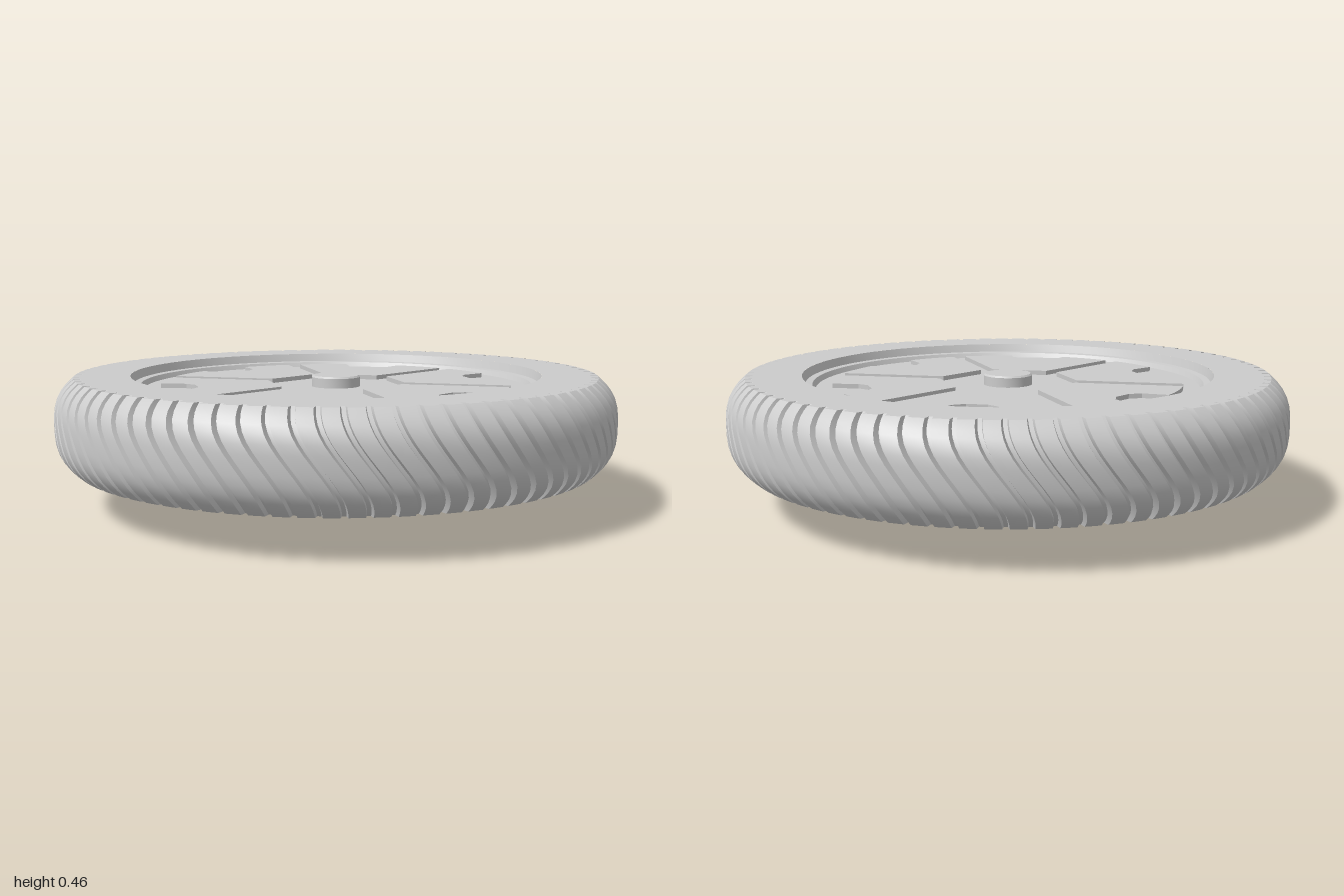
import * as THREE from 'three';
import { toCreasedNormals } from 'three/addons/utils/BufferGeometryUtils.js';

const material = new THREE.MeshStandardMaterial({ color: 0xcccccc });
const rad = THREE.MathUtils.degToRad;

function add(group, name, geometry) {
  const mesh = new THREE.Mesh(geometry, material);
  mesh.name = name;
  group.add(mesh);
  return mesh;
}

// Flat plate: outline in (x, z), extruded between two heights
function plate(shape, bottom, top) {
  const g = new THREE.ExtrudeGeometry(shape, { depth: top - bottom, bevelEnabled: false, curveSegments: 40 });
  g.rotateX(Math.PI / 2).translate(0, top, 0);
  return toCreasedNormals(g, 0.5);
}

function disc(r, bottom, top, segments = 56) {
  return new THREE.CylinderGeometry(r, r, top - bottom, segments).translate(0, (top + bottom) / 2, 0);
}

function lathe(points, segments = 72) {
  return toCreasedNormals(new THREE.LatheGeometry(points.map(p => new THREE.Vector2(...p)), segments), 0.4);
}

function circlePath(r, x = 0, y = 0) {
  return new THREE.Path().absarc(x, y, r, 0, Math.PI * 2);
}

const polar = (r, a) => new THREE.Vector2(r * Math.cos(a), r * Math.sin(a));

// Tyre: a bulged ring whose radius drops inside S-curved grooves
function tyreGeometry() {
  const blocks = 80, depth = 0.024, fractions = [0, 0.35, 0.7, 0.76, 0.94];
  const rows = [[0.78, -1, 0], [0.87, -1, 0]];
  for (let i = 0; i <= 16; i++) {
    const t = Math.sin((i / 8 - 1) * Math.PI / 2);
    rows.push([0.93 + 0.07 * (1 - Math.abs(t) ** 3), t, depth]);
  }
  rows.push([0.87, 1, 0], [0.735, 1, 0]);
  const cols = blocks * fractions.length, pos = [], index = [];
  rows.forEach(([r, t, d], j) => {
    for (let i = 0; i < cols; i++) {
      const k = i % fractions.length;
      const block = Math.floor(i / fractions.length);
      const a = (block + fractions[k]) / blocks * Math.PI * 2 - 0.08 * Math.sin(t * Math.PI / 2);
      const radius = r - (k >= 3 ? d : 0);
      pos.push(radius * Math.sin(a), 0.3 + 0.16 * t, radius * Math.cos(a));
      if (j < rows.length - 1) {
        const n = (i + 1) % cols, p = j * cols, q = p + cols;
        index.push(p + i, p + n, q + i, p + n, q + n, q + i);
      }
    }
  });
  const g = new THREE.BufferGeometry();
  g.setAttribute('position', new THREE.Float32BufferAttribute(pos, 3));
  g.setIndex(index);
  return toCreasedNormals(g, 0.6);
}

// Raised wheel pad with a notched outer edge
function padShape(centre) {
  const gap = 0.025, half = r => Math.PI / 6 - Math.asin(gap / r);
  const R = 0.63, edge = half(R), notch = rad(10);
  const pts = [polar(0.25, -half(0.25)), polar(0.3, -half(0.3))];
  for (let i = 0; i <= 4; i++) pts.push(polar(R, -edge + (edge - notch) * i / 4));
  pts.push(polar(0.54, -rad(8)), polar(0.51, -rad(4)));
  const mirrored = pts.map(p => new THREE.Vector2(p.x, -p.y)).reverse();
  return new THREE.Shape([...pts, ...mirrored].map(p => p.rotateAround(new THREE.Vector2(), centre)));
}

// Sector opening between two cover ribs
function sectorPath(start, span) {
  const gap = 0.03, inner = 0.43, outer = 0.7, pts = [];
  const ai = Math.asin(gap / inner), ao = Math.asin(gap / outer);
  for (let i = 0; i <= 16; i++) pts.push(polar(outer, start + ao + (span - 2 * ao) * i / 16));
  for (let i = 16; i >= 0; i--) pts.push(polar(inner, start + ai + (span - 2 * ai) * i / 16));
  return new THREE.Path(pts);
}

// Mounting flange outline with six rounded lobes
function flangeShape() {
  const pts = [];
  for (let i = 0; i < 120; i++) {
    const a = i / 120 * Math.PI * 2;
    const lobe = 0.5 + 0.5 * Math.cos(6 * (a - rad(225)));
    pts.push(polar(0.175 + 0.06 * Math.sqrt(lobe), a));
  }
  return new THREE.Shape(pts);
}

export function createModel() {
  const model = new THREE.Group();
  model.name = 'wheel';

  add(model, 'tyre', tyreGeometry());

  // Upper dished side
  add(model, 'rimDish', lathe([[0.735, 0.46], [0.725, 0.43], [0.7, 0.428], [0.69, 0.41], [0, 0.41]]));
  const pads = new THREE.Group();
  pads.name = 'wheelPads';
  for (let i = 0; i < 6; i++) add(pads, 'wheelPad', plate(padShape(rad(19 + 60 * i)), 0.405, 0.426));
  model.add(pads);
  add(model, 'hubCap', lathe([[0.088, 0.41], [0.088, 0.444], [0.082, 0.45], [0, 0.45]], 40));

  // Underside cover with five recessed sectors and eight bolt holes
  const cover = new THREE.Shape().absarc(0, 0, 0.79, 0, Math.PI * 2);
  for (let i = 0; i < 5; i++) cover.holes.push(sectorPath(rad(323.6 + 72 * i), rad(72)));
  const bolts = new THREE.Group();
  bolts.name = 'coverBolts';
  for (let i = 0; i < 8; i++) {
    const p = polar(0.755, rad(251 + 45 * i));
    cover.holes.push(circlePath(0.022, p.x, p.y));
    add(bolts, 'coverBolt', disc(0.014, 0.145, 0.165, 12)).position.set(p.x, 0, p.y);
  }
  model.add(bolts);
  add(model, 'cover', plate(cover, 0.1395, 0.156));
  add(model, 'coverBacking', disc(0.785, 0.155, 0.17, 72));

  // Stepped hub below the cover
  add(model, 'hubBase', lathe([[0, 0.124], [0.35, 0.124], [0.36, 0.12], [0.38, 0.124], [0.38, 0.14]]));
  add(model, 'hubDrum', lathe([[0, 0.078], [0.245, 0.078], [0.25, 0.07], [0.26, 0.07], [0.266, 0.078], [0.266, 0.125]]));
  const flange = flangeShape();
  const flangeBolts = new THREE.Group();
  flangeBolts.name = 'flangeBolts';
  for (let i = 0; i < 6; i++) {
    const p = polar(0.208, rad(225 + 60 * i));
    flange.holes.push(circlePath(0.02, p.x, p.y));
    add(flangeBolts, 'flangeBolt', disc(0.016, 0.058, 0.08, 12)).position.set(p.x, 0, p.y);
  }
  model.add(flangeBolts);
  add(model, 'flange', plate(flange, 0.052, 0.08));

  // Axle socket with connector, and the cable arm leading outwards
  const socket = new THREE.Shape().absarc(0, 0, 0.14, 0, Math.PI * 2);
  socket.holes.push(circlePath(0.105));
  add(model, 'axleSocket', plate(socket, 0, 0.06));
  add(model, 'socketFloor', disc(0.11, 0.03, 0.06, 40));
  const arm = new THREE.Group();
  arm.name = 'cableArm';
  arm.rotation.y = rad(50);
  add(arm, 'armBlock', new THREE.BoxGeometry(0.1, 0.058, 0.11).translate(0.157, 0.031, 0));
  add(arm, 'connector', new THREE.BoxGeometry(0.07, 0.03, 0.13).translate(0, 0.022, 0));
  for (let i = 0; i < 8; i++) {
    const pin = add(arm, 'connectorPin', new THREE.BoxGeometry(0.018, 0.01, 0.018));
    pin.position.set(i < 4 ? -0.016 : 0.016, 0.005, (i % 4 - 1.5) * 0.03);
  }
  model.add(arm);

  return model;
}
